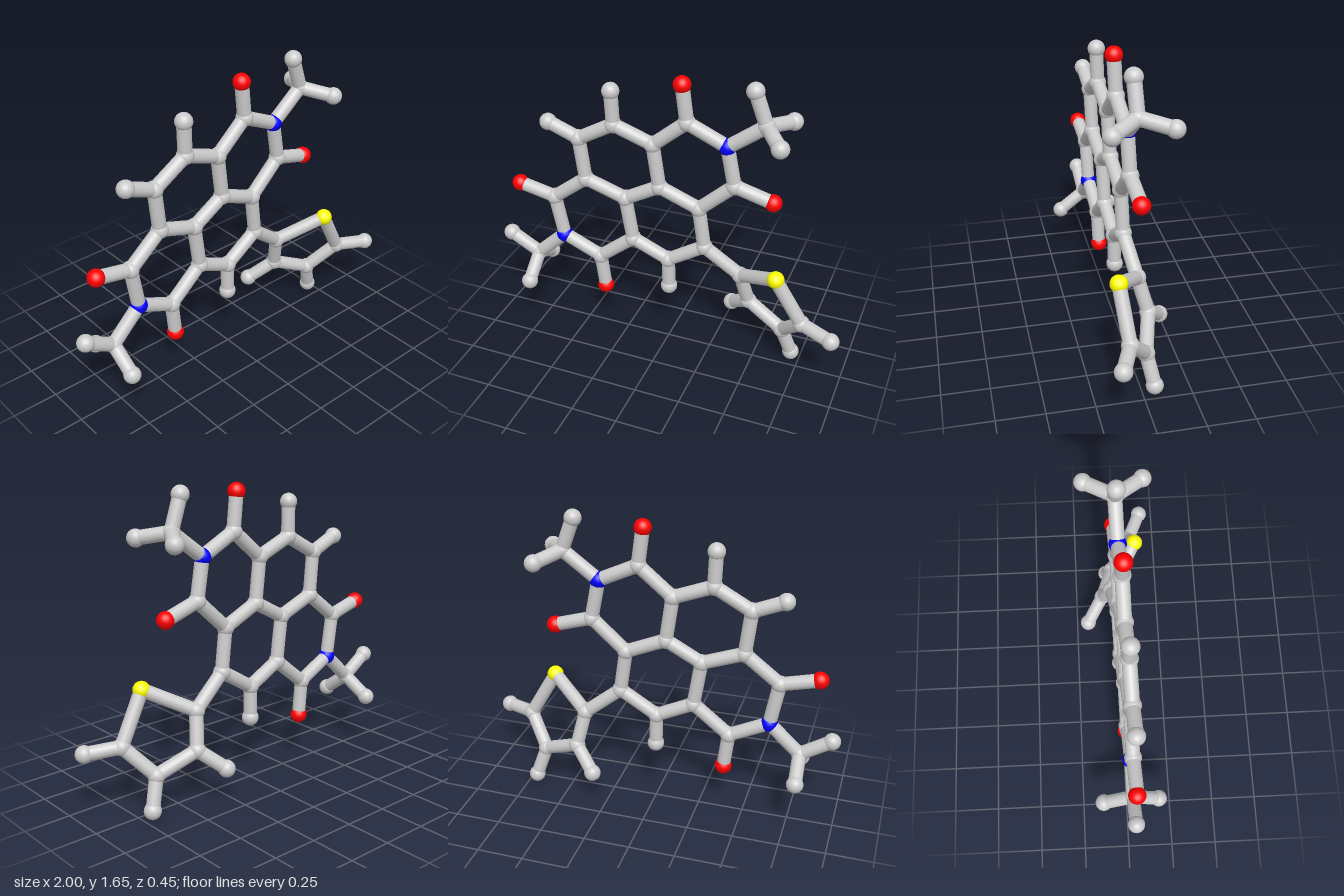
import * as THREE from 'three';

const ATOM_R = 0.046, BOND_R = 0.037;

// The fused ring sheet and the five-sided ring each lie in a slightly tilted plane
const sheet = (x, y) => new THREE.Vector3(x, y, 0.005 - 0.042 * x + 0.019 * (y - 0.8));
const side = (x, y) => new THREE.Vector3(x, y, -0.389 + 0.442 * x + 0.349 * y);
const free = (x, y, z) => new THREE.Vector3(x, y, z);

const atoms = {
  // fused ring carbons
  c1: sheet(-0.083, 1.23), c2: sheet(-0.05, 0.984), c3: sheet(0.168, 0.893),
  c4: sheet(-0.297, 1.31), c5: sheet(-0.495, 1.198), c6: sheet(-0.468, 0.957),
  c7: sheet(-0.243, 0.877), c8: sheet(-0.206, 0.626), c9: sheet(-0.003, 0.53),
  c10: sheet(0.2, 0.658),
  // right end ring
  c11: sheet(0.1, 1.385), n1: sheet(0.313, 1.285), c12: sheet(0.355, 1.065),
  o1: sheet(0.075, 1.588), o2: sheet(0.56, 1.005),
  // left end ring
  c13: sheet(-0.66, 0.807), n2: sheet(-0.618, 0.567), c14: sheet(-0.404, 0.465),
  o3: sheet(-0.864, 0.856), o4: sheet(-0.382, 0.267),
  // hydrogens on the rings
  h1: sheet(-0.303, 1.497), h2: sheet(-0.664, 1.267), h3: sheet(0, 0.353),
  // right methyl
  c15: sheet(0.505, 1.43), h4: sheet(0.442, 1.607),
  h5: free(0.614, 1.397, 0.138), h6: free(0.602, 1.403, -0.16),
  // left methyl
  c16: sheet(-0.789, 0.406), h7: sheet(-0.954, 0.506),
  h8: free(-0.784, 0.297, 0.175), h9: free(-0.797, 0.315, -0.13),
  // five-sided side ring
  c17: side(0.398, 0.503), c18: side(0.436, 0.31), c19: side(0.65, 0.214),
  c20: side(0.778, 0.369), s1: side(0.63, 0.63),
  h10: side(0.315, 0.203), h11: side(0.703, 0.048), h12: side(0.952, 0.356),
};

// Each string is a chain of bonded atoms
const chains = [
  'c1 c2 c3 c10 c9 c8 c7 c6 c5 c4 c1', 'c2 c7',
  'c1 c11 n1 c12 c3', 'c11 o1', 'c12 o2',
  'c6 c13 n2 c14 c8', 'c13 o3', 'c14 o4',
  'c4 h1', 'c5 h2', 'c9 h3',
  'n1 c15 h4', 'h5 c15 h6', 'n2 c16 h7', 'h8 c16 h9',
  'c10 c17 c18 c19 c20 s1 c17', 'c18 h10', 'c19 h11', 'c20 h12',
];

const kinds = {
  c: ['carbonAtom', 0xcccccc], h: ['hydrogenAtom', 0xcccccc],
  n: ['nitrogenAtom', 0x0000ff], o: ['oxygenAtom', 0xff0000], s: ['sulfurAtom', 0xffff00],
};

export function createModel() {
  const model = new THREE.Group();
  model.name = 'molecule';
  const atomGroup = new THREE.Group();
  atomGroup.name = 'atoms';
  const bondGroup = new THREE.Group();
  bondGroup.name = 'bonds';
  model.add(atomGroup, bondGroup);

  const materials = {};
  for (const [key, [, color]] of Object.entries(kinds)) {
    materials[key] = new THREE.MeshStandardMaterial({ color });
  }

  // Balls
  const ball = new THREE.SphereGeometry(ATOM_R, 24, 16);
  for (const [id, position] of Object.entries(atoms)) {
    const mesh = new THREE.Mesh(ball, materials[id[0]]);
    mesh.name = kinds[id[0]][0];
    mesh.position.copy(position);
    atomGroup.add(mesh);
  }

  // Sticks, stretched between neighbouring balls
  const stick = new THREE.CylinderGeometry(BOND_R, BOND_R, 1, 20, 1, true);
  const up = new THREE.Vector3(0, 1, 0);
  for (const chain of chains) {
    const ids = chain.split(' ');
    for (let i = 1; i < ids.length; i++) {
      const a = atoms[ids[i - 1]], b = atoms[ids[i]];
      const dir = b.clone().sub(a);
      const mesh = new THREE.Mesh(stick, materials.c);
      mesh.name = 'bond';
      mesh.scale.y = dir.length();
      mesh.position.copy(a).add(b).multiplyScalar(0.5);
      mesh.quaternion.setFromUnitVectors(up, dir.normalize());
      bondGroup.add(mesh);
    }
  }
  return model;
}
